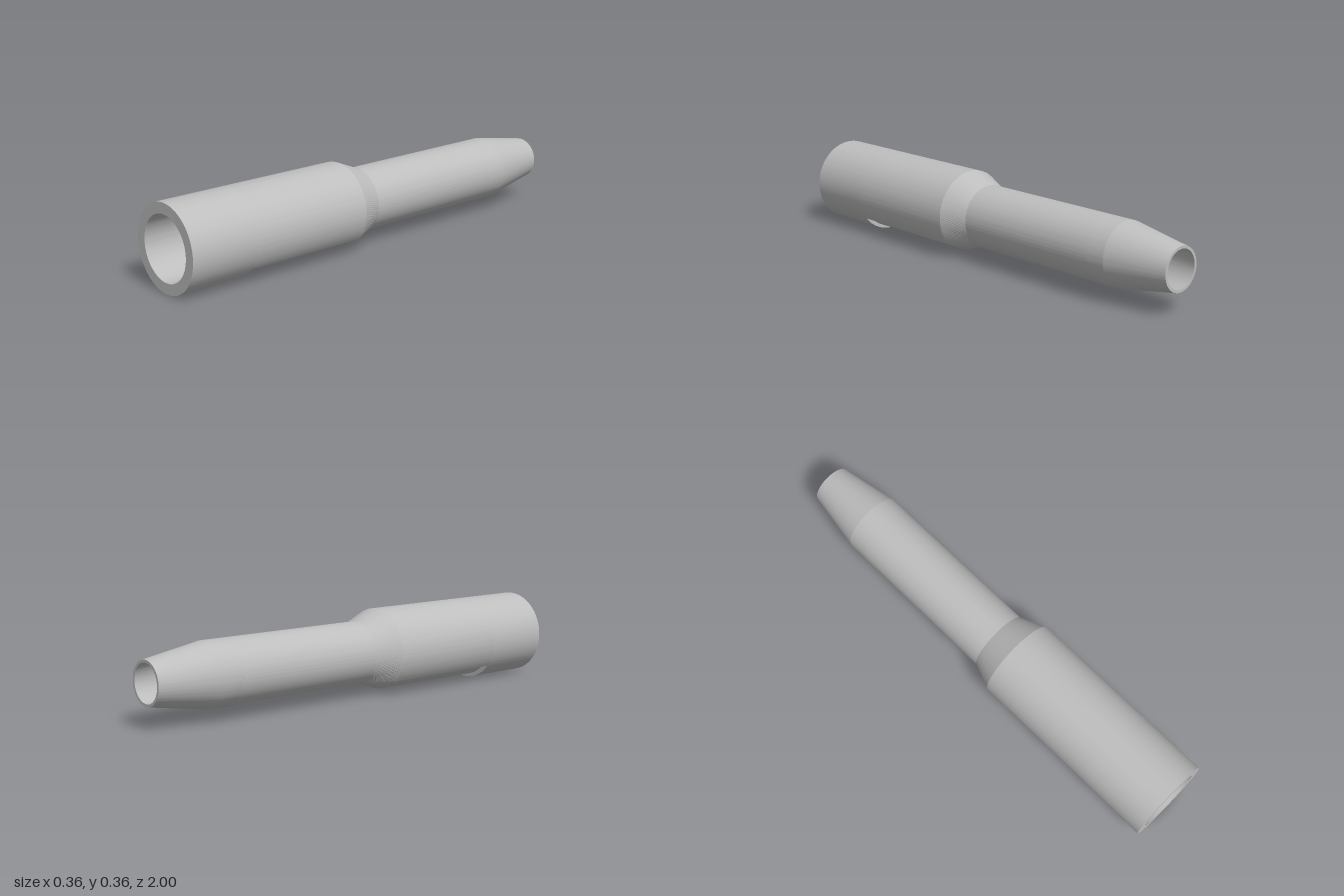
import * as THREE from 'three';
import { mergeGeometries, toCreasedNormals } from 'three/addons/utils/BufferGeometryUtils.js';

const AXIS_Y = 0.18;
const WIDE = 0.89, NARROW = 0.5; // half angles of the underside hatch

// Hatch half angle at a position along the tube, narrowing over the shoulder
function hatchAngle(z) {
  const t = THREE.MathUtils.clamp((z - 0.04) / 0.11, 0, 1);
  return THREE.MathUtils.lerp(NARROW, WIDE, t);
}

// Revolves a closed [radius, z] profile between two angles that may vary with z.
// Angle 0 points straight down.
function revolve(profile, from, to, capped) {
  const pts = profile.map(([r, z]) => new THREE.Vector2(r, z));
  const lathe = new THREE.LatheGeometry([...pts, pts[0].clone()], 96);
  const parts = [lathe];
  if (capped) parts.push(new THREE.ShapeGeometry(new THREE.Shape(pts)), new THREE.ShapeGeometry(new THREE.Shape(pts)));
  parts.forEach((geo, part) => {
    const p = geo.attributes.position, uv = geo.attributes.uv;
    for (let i = 0; i < p.count; i++) {
      const r = Math.hypot(p.getX(i), p.getZ(i)), z = p.getY(i);
      const u = part === 0 ? uv.getX(i) : part - 1;
      const a = THREE.MathUtils.lerp(from(z), to(z), u);
      p.setXYZ(i, r * Math.sin(a), -r * Math.cos(a), z);
    }
  });
  return toCreasedNormals(mergeGeometries(parts), 0.12);
}

export function createModel() {
  const model = new THREE.Group();
  const grey = new THREE.MeshStandardMaterial({ color: 0xbebebe, side: THREE.DoubleSide });
  grey.name = 'grey';

  const add = (name, geometry, z = 0, y = AXIS_Y) => {
    const mesh = new THREE.Mesh(geometry, grey);
    mesh.name = name;
    mesh.position.set(0, y, z);
    model.add(mesh);
  };
  const ring = (profile) => revolve(profile, () => 0, () => Math.PI * 2, false);

  // Full rings at both ends
  add('frontCollar', ring([[0.18, 0.7], [0.18, 1], [0.135, 1], [0.135, 0.7]]));
  add('rearNozzle', ring([[0.09, -1], [0.135, -0.735], [0.135, -0.65], [0.115, -0.65],
    [0.115, -0.73], [0.079, -1]]));

  // Stepped middle body, open along the underside
  add('mainBody', revolve([[0.135, -0.65], [0.135, 0.035], [0.18, 0.145], [0.18, 0.7],
    [0.135, 0.7], [0.135, 0.145], [0.115, 0.035], [0.115, -0.65]],
  hatchAngle, (z) => Math.PI * 2 - hatchAngle(z), true));

  // Slightly sunken hatch cover with a narrow gap around it
  const cover = (z) => hatchAngle(z) - 0.025;
  add('hatchCover', revolve([[0.131, -0.64], [0.131, 0.04], [0.165, 0.145], [0.165, 0.688],
    [0.135, 0.688], [0.135, 0.145], [0.115, 0.035], [0.115, -0.64]],
  (z) => -cover(z), cover, true));
  add('coverFloor', new THREE.BoxGeometry(0.13, 0.012, 0.52), 0.42, 0.056);

  // Inner bulkhead with a keyed opening
  const plate = new THREE.Shape().absarc(0, 0, 0.135, 0, Math.PI * 2);
  plate.holes.push(new THREE.Path([
    [-0.113, -0.07], [0.113, -0.07], [0.13, 0], [0.129, 0.03], [0.08, 0.03], [0.072, 0.074],
    [-0.072, 0.074], [-0.08, 0.03], [-0.129, 0.03], [-0.13, 0],
  ].map(([x, y]) => new THREE.Vector2(x, y))));
  add('bulkhead', new THREE.ExtrudeGeometry(plate, { depth: 0.02, bevelEnabled: false, curveSegments: 48 }), 0.146);

  // Inner cheeks beside the channel
  for (const side of [-1, 1]) {
    const cheek = new THREE.BoxGeometry(0.025, 0.1, 0.5);
    cheek.translate(side * 0.096, 0, 0);
    add(side < 0 ? 'rightCheek' : 'leftCheek', cheek, -0.27, 0.16);
  }

  // Recessed plug closing the channel before the nozzle
  add('plugRing', ring([[0.115, -0.64], [0.115, -0.6], [0.071, -0.6], [0.071, -0.64]]));
  const plug = new THREE.CylinderGeometry(0.115, 0.115, 0.02, 64);
  plug.rotateX(Math.PI / 2);
  add('plug', plug, -0.65);

  return model;
}
